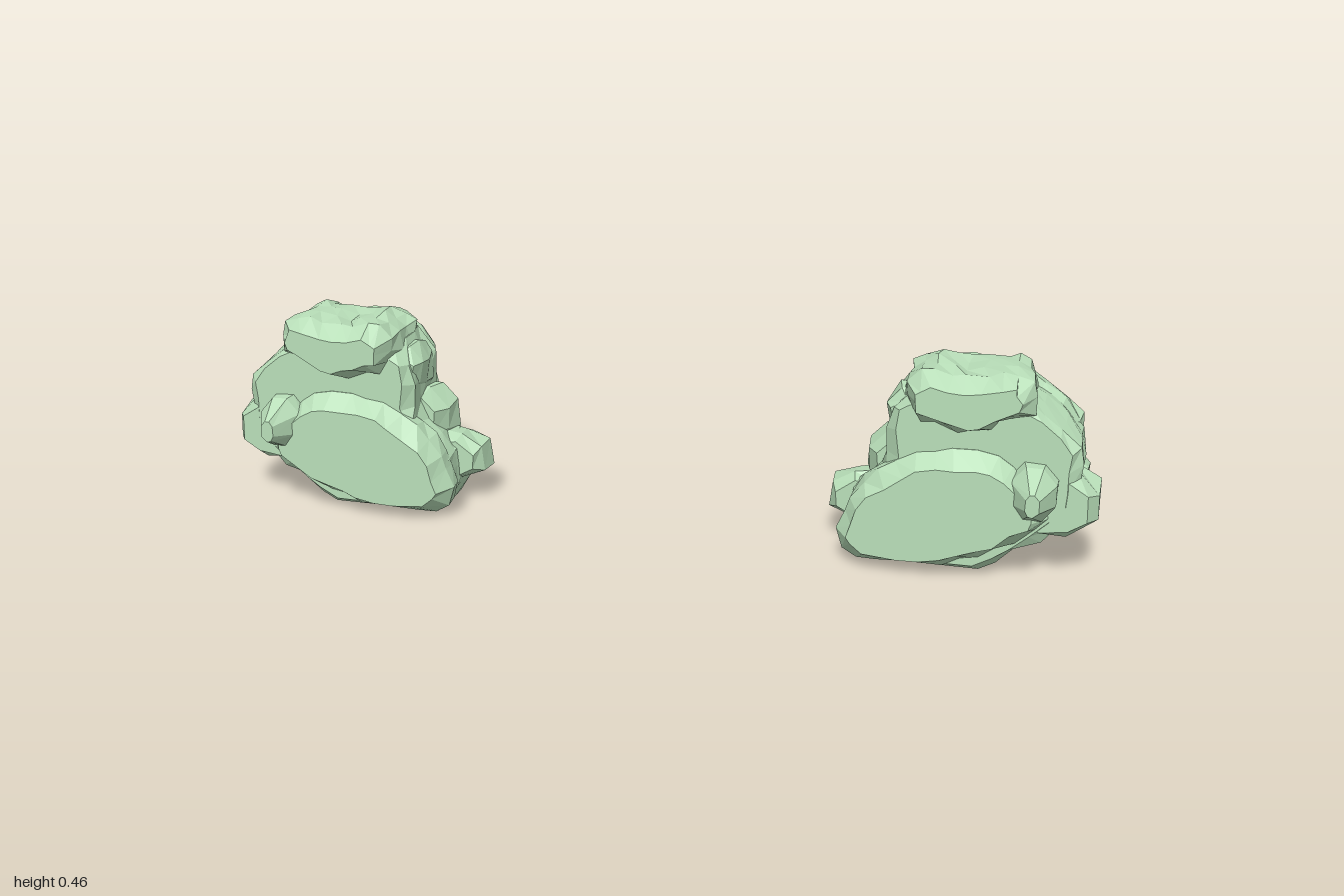
import * as THREE from 'three';

const material = new THREE.MeshStandardMaterial({ color: 0xb9dfb9, flatShading: true });

// Repeatable value in -1..1 from a position, so shared corners move together
function wobble(x, y, z, k) {
  const q = (v) => Math.round(v * 1000);
  const s = Math.sin(q(x) * 12.99 + q(y) * 78.23 + q(z) * 37.72 + k * 9.1) * 43758.5;
  return (s - Math.floor(s)) * 2 - 1;
}

// Rounded outline through a few corners
function rounded(corners, count) {
  const curve = new THREE.CatmullRomCurve3(corners.map(([x, y]) => new THREE.Vector3(x, y, 0)), true, 'catmullrom', 0.2);
  return curve.getSpacedPoints(count).slice(0, -1);
}

// Eight-sided outline around a centre
function lump(cx, cy, rx, ry) {
  return Array.from({ length: 8 }, (_, i) => {
    const a = (i + 0.5) * Math.PI / 4;
    return new THREE.Vector3(cx + rx * Math.cos(a) / 0.924, cy + ry * Math.sin(a) / 0.924, 0);
  });
}

// Chamfered rock slab between z0 and z1, with a roughened rim and flat faces
function addSlab(rock, side, name, outline, z0, z1, bevel, depthBevel, rough = 0.009) {
  const shape = new THREE.Shape(outline.map((p) => new THREE.Vector2(side * p.x, p.y)));
  const depth = z1 - z0 - 2 * depthBevel;
  const geometry = new THREE.ExtrudeGeometry(shape, {
    depth, steps: Math.max(1, Math.round(depth / 0.048)), bevelEnabled: true, bevelSegments: 1,
    bevelSize: bevel, bevelOffset: -bevel, bevelThickness: depthBevel,
  });
  geometry.translate(0, 0, z0 + depthBevel);
  const p = geometry.attributes.position;
  for (let i = 0; i < p.count; i++) {
    const ax = Math.abs(p.getX(i)), y = p.getY(i), z = p.getZ(i);
    const x = Math.min(1, ax + rough * wobble(ax, y, z, 1));
    const ny = THREE.MathUtils.clamp(y + rough * wobble(ax, y, z, 2), 0, 0.462);
    p.setXY(i, side * x, y < 0.004 ? 0 : ny);
  }
  geometry.computeVertexNormals();
  const mesh = new THREE.Mesh(geometry, material);
  mesh.name = name;
  rock.add(mesh);
}

function createRock(side) {
  const rock = new THREE.Group();
  rock.name = side > 0 ? 'leftRock' : 'rightRock';

  // Main layers, from back to front
  const back = rounded([[0.56, 0.01], [0.73, 0.01], [0.87, 0.11], [0.94, 0.2], [0.945, 0.33],
    [0.80, 0.43], [0.65, 0.43], [0.56, 0.36]], 24);
  addSlab(rock, side, 'backSlab', back, -0.17, -0.05, 0.024, 0.045, 0.007);

  const core = rounded([[0.50, 0.0], [0.75, 0.0], [0.92, 0.12], [0.96, 0.22], [0.94, 0.325],
    [0.83, 0.4], [0.60, 0.41], [0.545, 0.34], [0.55, 0.23], [0.46, 0.12]], 30);
  addSlab(rock, side, 'coreRock', core, -0.12, 0.073, 0.02, 0.025);

  // Front face slopes up towards the outer side
  const front = rounded([[0.50, 0.012], [0.68, 0.015], [0.81, 0.07], [0.895, 0.14], [0.87, 0.21],
    [0.77, 0.28], [0.63, 0.275], [0.49, 0.185], [0.445, 0.06]], 26);
  addSlab(rock, side, 'frontSlab', front, -0.01, 0.122, 0.026, 0.047, 0.007);

  // Overhanging top, with a dip between its two crests
  const cap = rounded([[0.59, 0.36], [0.66, 0.33], [0.75, 0.33], [0.855, 0.38], [0.83, 0.46],
    [0.72, 0.445], [0.63, 0.46], [0.58, 0.42]], 20);
  addSlab(rock, side, 'capRock', cap, -0.12, 0.122, 0.024, 0.05);

  // Smaller lumps on the sides and front
  addSlab(rock, side, 'outerLedge', lump(0.905, 0.172, 0.095, 0.073), -0.06, 0.072, 0.018, 0.035);
  addSlab(rock, side, 'outerBackLedge', lump(0.88, 0.18, 0.09, 0.085), -0.14, -0.02, 0.025, 0.04);
  addSlab(rock, side, 'frontKnob', lump(0.862, 0.207, 0.05, 0.06), 0.0, 0.17, 0.036, 0.07, 0.003);
  addSlab(rock, side, 'innerFoot', lump(0.505, 0.11, 0.09, 0.058), -0.122, -0.01, 0.018, 0.03);
  addSlab(rock, side, 'innerStep', lump(0.565, 0.2, 0.07, 0.08), -0.13, 0.0, 0.025, 0.04);
  addSlab(rock, side, 'innerShoulder', lump(0.59, 0.325, 0.052, 0.06), -0.1, 0.04, 0.018, 0.03);
  return rock;
}

export function createModel() {
  const model = new THREE.Group();
  model.name = 'rockPair';
  model.add(createRock(1), createRock(-1));
  return model;
}
